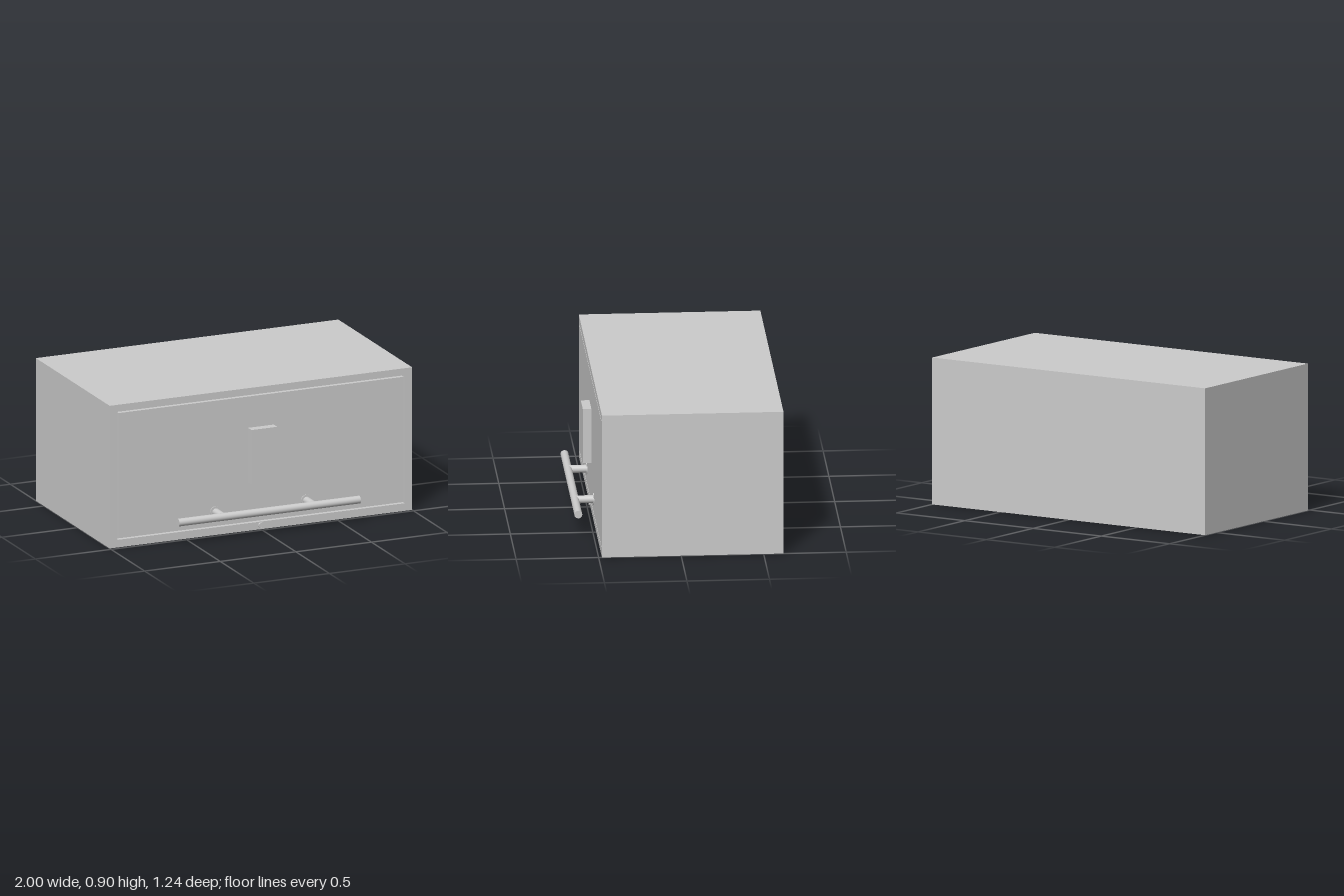
import * as THREE from 'three';

const FRONT = 0.48, BACK = -0.62, HEIGHT = 0.9, GAP_DEPTH = 0.04;

export function createModel() {
  const model = new THREE.Group();
  const material = new THREE.MeshStandardMaterial({ color: 0xcccccc });

  function add(name, geometry, x, y, z, parent = model) {
    const mesh = new THREE.Mesh(geometry, material);
    mesh.name = name;
    mesh.position.set(x, y, z);
    parent.add(mesh);
    return mesh;
  }
  function rect(path, x, y0, y1) {
    path.moveTo(-x, y0);
    path.lineTo(x, y0);
    path.lineTo(x, y1);
    path.lineTo(-x, y1);
    path.closePath();
    return path;
  }
  // Cylinder along z, from z0 to z1
  function rod(name, radius, x, y, z0, z1, parent) {
    const geometry = new THREE.CylinderGeometry(radius, radius, z1 - z0, 32).rotateX(Math.PI / 2);
    return add(name, geometry, x, y, (z0 + z1) / 2, parent);
  }

  // Cabinet body with a face frame around the door opening
  const bodyDepth = FRONT - GAP_DEPTH - BACK;
  add('cabinetBody', new THREE.BoxGeometry(2, HEIGHT, bodyDepth), 0, HEIGHT / 2, BACK + bodyDepth / 2);
  const frame = rect(new THREE.Shape(), 1, 0, HEIGHT);
  frame.holes.push(rect(new THREE.Path(), 0.95, 0.048, 0.856));
  add('faceFrame', new THREE.ExtrudeGeometry(frame, { depth: GAP_DEPTH, bevelEnabled: false }), 0, 0, FRONT - GAP_DEPTH);

  // Flush door, leaving a narrow gap to the frame
  add('door', new THREE.BoxGeometry(1.884, 0.79, GAP_DEPTH), 0, 0.452, FRONT - GAP_DEPTH / 2);

  // Raised block on the door
  add('doorBlock', new THREE.BoxGeometry(0.17, 0.344, 0.052), 0, 0.478, FRONT + 0.026);

  // Bar handle on two flanged posts
  const handle = new THREE.Group();
  handle.name = 'handle';
  model.add(handle);
  add('handleBar', new THREE.CylinderGeometry(0.024, 0.024, 1.2, 32).rotateZ(Math.PI / 2), 0, 0.146, 0.595, handle);
  for (const x of [-0.3, 0.3]) {
    rod('handlePost', 0.024, x, 0.146, FRONT, 0.595, handle);
    rod('handleFlange', 0.037, x, 0.146, FRONT, FRONT + 0.005, handle);
  }

  // Lock below the door: a collar round a recessed plug with an upright keyway
  const lock = new THREE.Group();
  lock.name = 'lock';
  model.add(lock);
  const collar = new THREE.Shape().absarc(0, 0, 0.018, 0, Math.PI * 2);
  const keyway = new THREE.Path();
  keyway.moveTo(-0.0025, -0.012);
  keyway.lineTo(0.0025, -0.012);
  keyway.lineTo(0.0025, 0.012);
  keyway.lineTo(-0.0025, 0.012);
  keyway.closePath();
  collar.holes.push(keyway);
  add('lockCylinder', new THREE.ExtrudeGeometry(collar, { depth: 0.011, bevelEnabled: false, curveSegments: 24 }), 0, 0.026, FRONT, lock);

  return model;
}
